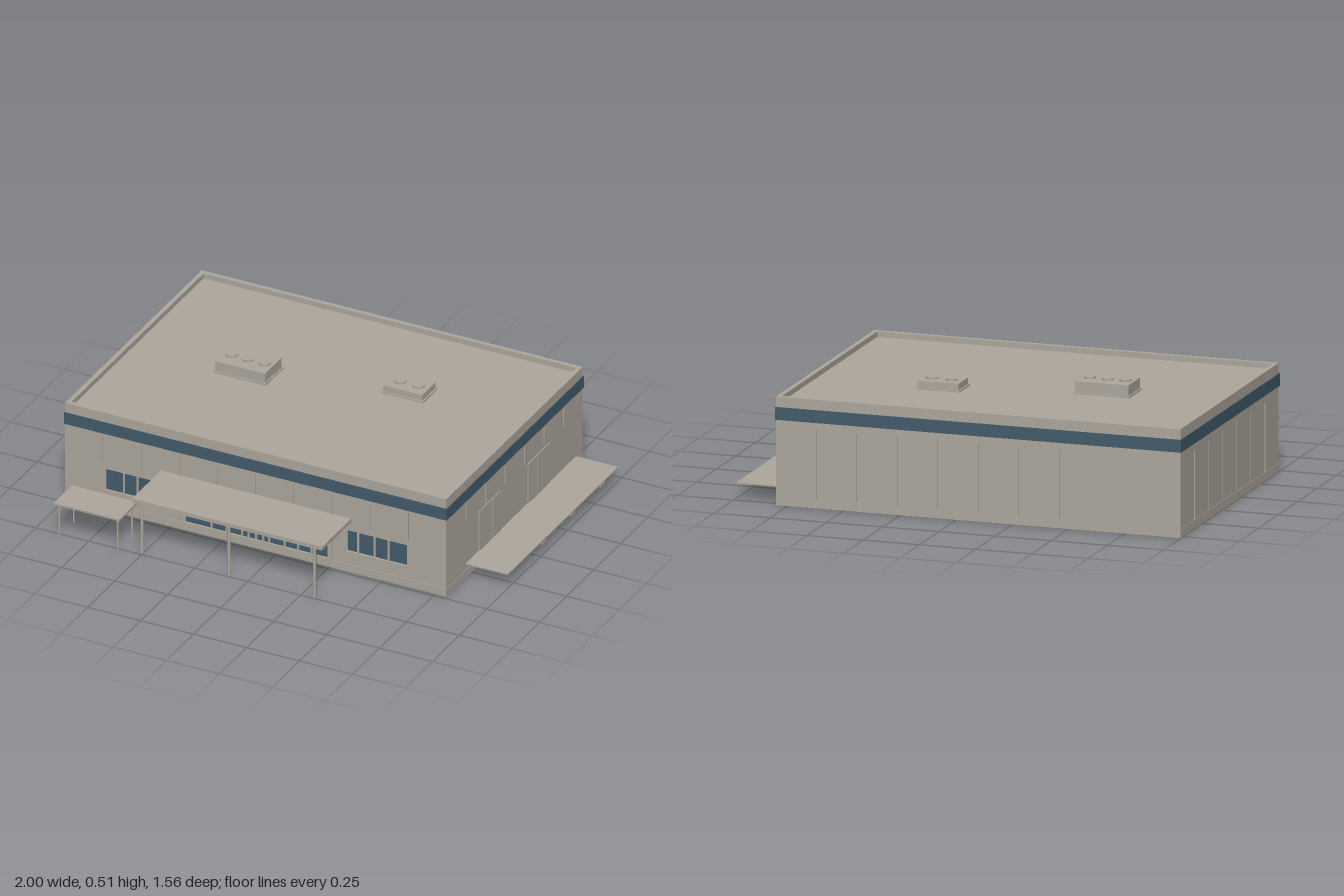
import * as THREE from 'three';

const wallMat = new THREE.MeshStandardMaterial({ name: 'warmGrey', color: 0xada79d });
const blueMat = new THREE.MeshStandardMaterial({ name: 'slateBlue', color: 0x425b6c });

// Building extents
const X0 = -1, X1 = 0.803, Z0 = -0.78, Z1 = 0.485, TOP = 0.47;
const CX = (X0 + X1) / 2, CZ = (Z0 + Z1) / 2;

export function createModel() {
  const model = new THREE.Group();
  model.name = 'building';

  const group = (name) => {
    const g = new THREE.Group();
    g.name = name;
    model.add(g);
    return g;
  };
  // Box given by its minimum and maximum corners
  const box = (parent, name, x0, x1, y0, y1, z0, z1, mat = wallMat) => {
    const m = new THREE.Mesh(new THREE.BoxGeometry(x1 - x0, y1 - y0, z1 - z0), mat);
    m.position.set((x0 + x1) / 2, (y0 + y1) / 2, (z0 + z1) / 2);
    m.name = name;
    parent.add(m);
    return m;
  };
  const rect = (Type, x0, x1, y0, y1) => {
    const p = new Type();
    p.moveTo(x0, y0);
    p.lineTo(x1, y0);
    p.lineTo(x1, y1);
    p.lineTo(x0, y1);
    p.closePath();
    return p;
  };
  // Rectangular ring lying flat, extruded upwards
  const ring = (name, grow, thick, y0, y1, mat) => {
    const s = rect(THREE.Shape, X0 - grow, X1 + grow, -Z1 - grow, -Z0 + grow);
    const t = thick - grow;
    s.holes.push(rect(THREE.Path, X0 + t, X1 - t, -Z1 + t, -Z0 - t));
    const geo = new THREE.ExtrudeGeometry(s, { depth: y1 - y0, bevelEnabled: false });
    geo.rotateX(-Math.PI / 2);
    const m = new THREE.Mesh(geo, mat);
    m.position.y = y0;
    m.name = name;
    model.add(m);
  };

  // Front wall with openings; the other three walls are plain, the base is open
  const openings = [
    { name: 'leftmostWindow', x0: -0.805, x1: -0.525, y0: 0.1, y1: 0.2, bars: [-0.72, -0.655, -0.59] },
    { name: 'entranceGlazing', x0: -0.43, x1: 0.24, y0: 0.04, y1: 0.235,
      bars: [-0.306, -0.236, -0.162, -0.095, -0.035, 0.04, 0.102, 0.166] },
    { name: 'sideWindow', x0: 0.335, x1: 0.615, y0: 0.1, y1: 0.2, bars: [0.387, 0.463, 0.53] },
  ];
  const T = 0.012;
  const walls = group('walls');
  const frontShape = rect(THREE.Shape, X0 + 0.002, X1 - 0.002, 0, 0.4);
  for (const o of openings) frontShape.holes.push(rect(THREE.Path, o.x0, o.x1, o.y0, o.y1));
  const front = new THREE.Mesh(
    new THREE.ExtrudeGeometry(frontShape, { depth: T, bevelEnabled: false }), wallMat);
  front.position.z = Z1 - T - 0.002;
  front.name = 'frontWall';
  walls.add(front);
  box(walls, 'backWall', X0 + 0.002, X1 - 0.002, 0, 0.4, Z0 + 0.002, Z0 + T);
  box(walls, 'rightWall', X0 + 0.002, X0 + T, 0, 0.4, Z0 + T, Z1 - T - 0.002);
  box(walls, 'leftWall', X1 - T, X1 - 0.002, 0, 0.4, Z0 + T, Z1 - T - 0.002);

  // Blue fascia, parapet and roof deck
  ring('blueBand', 0.002, T + 0.002, 0.37, 0.425, blueMat);
  ring('parapet', -0.002, 0.02, 0.425, TOP, wallMat);
  box(model, 'roofDeck', X0 + 0.01, X1 - 0.01, 0.438, 0.446, Z0 + 0.01, Z1 - 0.01);

  // Thin base trim line
  ring('baseTrim', 0, 0.006, 0.034, 0.038, wallMat);

  // Vertical cladding seams
  const seams = group('claddingSeams');
  const S = 0.0015;
  for (let i = 1; i < 10; i++) {
    const x = X0 + (i * (X1 - X0)) / 10;
    box(seams, 'backSeam', x - S, x + S, 0.04, 0.34, Z0 - 0.003, Z0 + 0.004);
    const o = openings.find((w) => x > w.x0 - 0.02 && x < w.x1 + 0.02);
    box(seams, 'frontSeam', x - S, x + S, o ? o.y1 + 0.03 : 0.04, 0.36, Z1 - 0.004, Z1 + 0.003);
  }
  for (let i = 1; i < 7; i++) {
    const z = Z0 + (i * (Z1 - Z0)) / 7;
    box(seams, 'rightSeam', X0 - 0.001, X0 + 0.004, 0.04, 0.34, z - S, z + S);
    box(seams, 'leftSeam', X1 - 0.004, X1 + 0.003, 0.27, 0.36, z - S, z + S);
  }

  // Glazing with frames and mullions
  for (const o of openings) {
    const g = group(o.name);
    box(g, 'glass', o.x0, o.x1, o.y0, o.y1, Z1 - 0.011, Z1 - 0.005, blueMat);
    for (const x of o.bars) box(g, 'mullion', x - 0.004, x + 0.004, o.y0, o.y1, Z1 - 0.008, Z1 + 0.002);
    box(g, 'sill', o.x0 - 0.003, o.x1 + 0.003, o.y0 - 0.006, o.y0 + 0.003, Z1 - 0.008, Z1 + 0.004);
    if (o.name === 'entranceGlazing') {
      box(g, 'transom', o.x0, o.x1, 0.212, 0.219, Z1 - 0.008, Z1 + 0.002);
      for (const x of [-0.13, -0.062]) {
        box(g, 'doorJamb', x - 0.003, x + 0.003, 0.04, 0.145, Z1 - 0.006, Z1 + 0.004);
      }
      box(g, 'doorHead', -0.133, -0.059, 0.14, 0.146, Z1 - 0.006, Z1 + 0.004);
    }
  }

  // Canopies on slim posts
  const canopy = (name, x0, x1, y0, y1, z0, z1, postXs, postZs, r) => {
    const g = group(name);
    box(g, 'canopySlab', x0, x1, y0, y1, z0, z1);
    for (const x of postXs) {
      for (const z of postZs) {
        const post = new THREE.Mesh(new THREE.CylinderGeometry(r, r, y0, 12), wallMat);
        post.position.set(x, y0 / 2, z);
        post.name = 'post';
        g.add(post);
      }
    }
  };
  canopy('entranceCanopy', -0.545, 0.353, 0.243, 0.261, Z1 - 0.004, 0.753,
    [-0.505, -0.095, 0.31], [0.738], 0.007);
  canopy('smallShelter', -0.9, -0.59, 0.153, 0.162, 0.613, 0.78,
    [-0.88, -0.605], [0.635, 0.767], 0.004);

  // Loading dock platform with edge bumpers
  const dock = group('loadingDock');
  box(dock, 'platform', X1 - 0.004, 1, 0.063, 0.069, -0.717, 0.303);
  for (const z of [-0.037, -0.307, -0.578]) {
    box(dock, 'bumper', 0.985, 0.999, 0.047, 0.064, z - 0.018, z + 0.018);
  }

  // Dock doors: thin plates with rounded top corners
  const doors = group('dockDoors');
  for (const [za, zb] of [[0.185, 0.067], [0.064, -0.022], [-0.27, -0.353], [-0.356, -0.474]]) {
    const w = za - zb, h = 0.192, r = 0.008;
    const s = new THREE.Shape();
    s.moveTo(0, 0);
    s.lineTo(w, 0);
    s.lineTo(w, h - r);
    s.quadraticCurveTo(w, h, w - r, h);
    s.lineTo(r, h);
    s.quadraticCurveTo(0, h, 0, h - r);
    s.closePath();
    const door = new THREE.Mesh(
      new THREE.ExtrudeGeometry(s, { depth: 0.005, bevelEnabled: false, curveSegments: 4 }), wallMat);
    door.rotation.y = Math.PI / 2;
    door.position.set(X1 - 0.003, 0.068, za);
    door.name = 'dockDoor';
    doors.add(door);
  }

  // Rooftop ventilation units with round fans
  const unit = (name, x0, x1, z0, z1, top, fans) => {
    const g = group(name);
    box(g, 'curb', x0, x1, 0.444, 0.454, z0, z1);
    box(g, 'housing', x0 + 0.006, x1 - 0.006, 0.45, top, z0 + 0.006, z1 - 0.006);
    for (const x of fans) {
      const fan = new THREE.Mesh(new THREE.CylinderGeometry(0.025, 0.025, 0.01, 20), wallMat);
      fan.position.set(x, top + 0.003, (z0 + z1) / 2);
      fan.name = 'fan';
      g.add(fan);
    }
  };
  unit('largeRoofUnit', -0.58, -0.332, -0.23, -0.065, 0.5, [-0.535, -0.456, -0.377]);
  unit('smallRoofUnit', 0.128, 0.325, -0.368, -0.233, 0.482, [0.185, 0.27]);

  return model;
}
